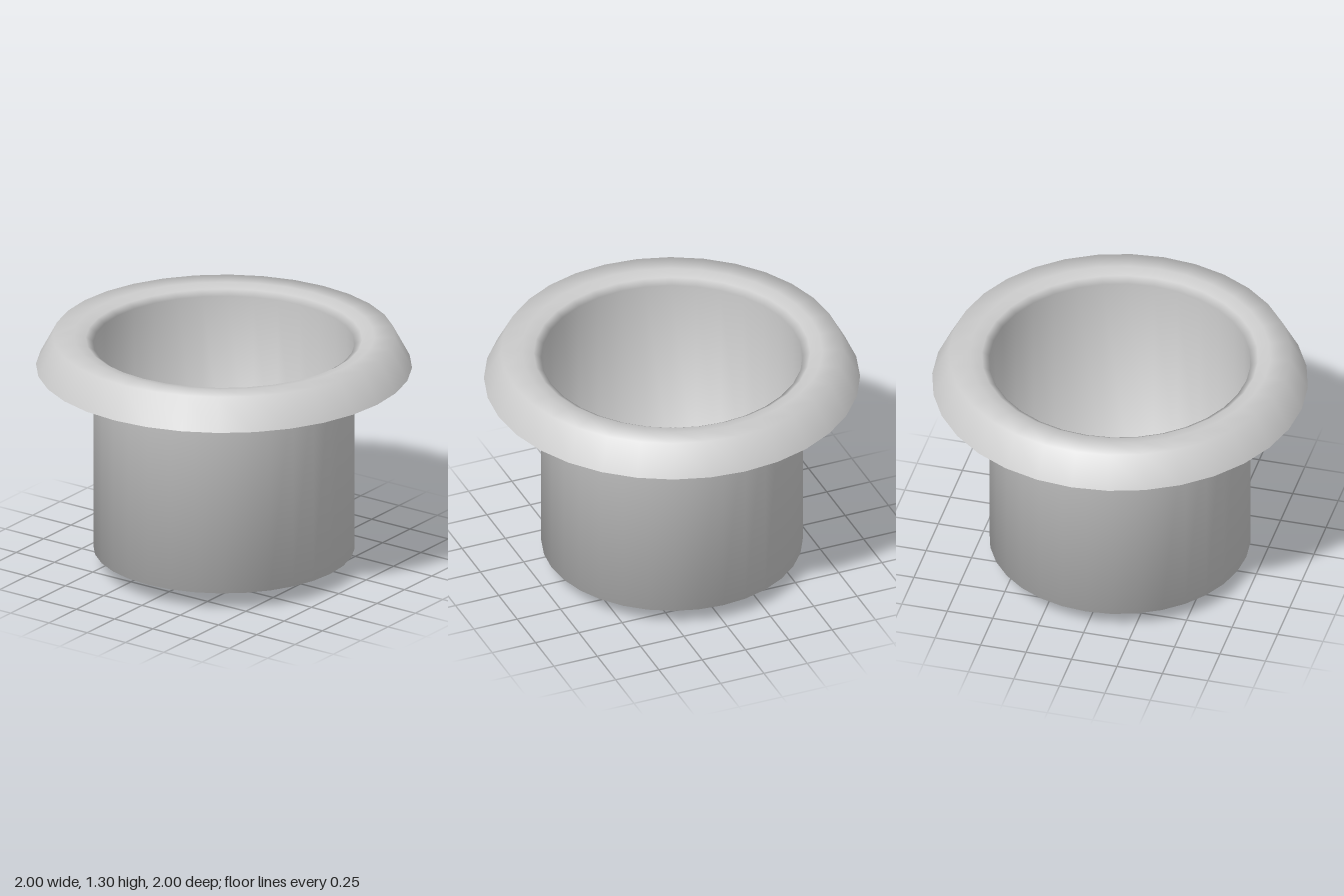
import * as THREE from 'three';

export function createModel() {
  const group = new THREE.Group();
  group.name = 'flangedCup';
  const material = new THREE.MeshStandardMaterial({ color: 0xcccccc, side: THREE.DoubleSide });

  // One thin turned shell, listed from the skirt of the rim inward and down to the tip
  const profile = [
    [1.0, 1.13], [0.91, 1.3], // sloping skirt
    [0.8, 1.3], [0.735, 1.285], [0.695, 1.26], // rim top rolling into the mouth
    [0.695, 0.1], // straight wall
    [0, 0], // shallow conical bottom
  ].map(([r, y]) => new THREE.Vector2(r, y));

  const shell = new THREE.Mesh(new THREE.LatheGeometry(profile, 32), material);
  shell.name = 'cupShell';
  group.add(shell);
  return group;
}
